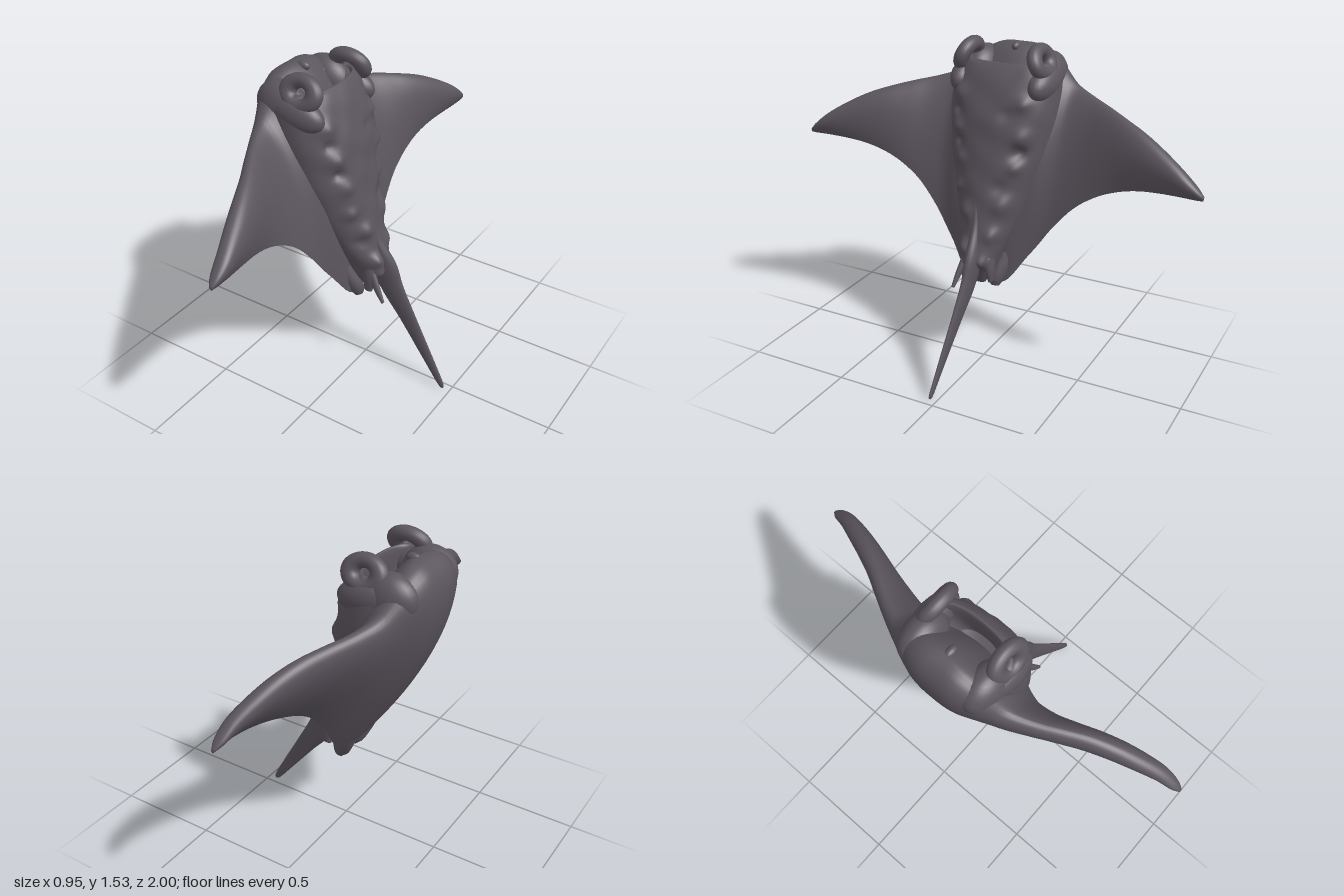
import * as THREE from 'three';

const hide = new THREE.MeshStandardMaterial({ color: 0x5b555e, side: THREE.DoubleSide });
hide.name = 'slate grey skin';

// Smooth interpolation in a table whose first column is the parameter.
function sample(rows, t) {
  let i = 0;
  while (i < rows.length - 2 && t > rows[i + 1][0]) i++;
  const a = rows[i], b = rows[i + 1], p = rows[Math.max(i - 1, 0)], q = rows[Math.min(i + 2, rows.length - 1)];
  const h = b[0] - a[0], u = (t - a[0]) / h;
  return a.map((v, k) => {
    const m0 = (b[k] - p[k]) / (b[0] - p[0]) * h, m1 = (q[k] - v) / (q[0] - a[0]) * h;
    return (2 * u ** 3 - 3 * u * u + 1) * v + (u ** 3 - 2 * u * u + u) * m0
      + (3 * u * u - 2 * u ** 3) * b[k] + (u ** 3 - u * u) * m1;
  });
}

// Skin a list of equal rings, closing both ends, faces outward.
function loft(rings) {
  const n = rings[0].length;
  const centre = (r) => {
    const c = r.reduce((s, p) => s.add(p), new THREE.Vector3()).divideScalar(n);
    return r.map(() => c);
  };
  const all = [centre(rings[0]), ...rings, centre(rings[rings.length - 1])];
  const pts = all.flat();
  const idx = [];
  for (let i = 0; i < all.length - 1; i++) {
    for (let j = 0; j < n; j++) {
      const a = i * n + j, b = i * n + (j + 1) % n;
      idx.push(a, b, a + n, b, b + n, a + n);
    }
  }
  let volume = 0;
  const cross = new THREE.Vector3();
  for (let k = 0; k < idx.length; k += 3) {
    volume += pts[idx[k]].dot(cross.crossVectors(pts[idx[k + 1]], pts[idx[k + 2]]));
  }
  if (volume < 0) idx.reverse();
  const g = new THREE.BufferGeometry().setFromPoints(pts);
  g.setIndex(idx);
  g.computeVertexNormals();
  return g;
}

// Tapered limb: rows of x, y, z, radius in the x-y plane, radius in z.
function limb(rows, steps = 24, sides = 14) {
  const keyed = rows.map((r, i) => [i, ...r]);
  const rings = [];
  for (let i = 0; i <= steps; i++) {
    const t = i / steps * (rows.length - 1);
    const [, x, y, z, r, w] = sample(keyed, t);
    const e = 0.05, t0 = Math.max(t - e, 0), t1 = Math.min(t + e, rows.length - 1);
    const s0 = sample(keyed, t0), s1 = sample(keyed, t1);
    const d = new THREE.Vector2(s1[1] - s0[1], s1[2] - s0[2]).normalize();
    rings.push(Array.from({ length: sides }, (_, j) => {
      const a = j / sides * Math.PI * 2;
      return new THREE.Vector3(x - d.y * r * Math.cos(a), y + d.x * r * Math.cos(a), z + w * Math.sin(a));
    }));
  }
  return loft(rings);
}

// Back and wings: z, leading y and x, trailing y and x, back bulge, belly bulge
const WING = [
  [-0.1, 1.48, -0.37, 0.42, -0.02, 0.47, 0.3],
  [0, 1.49, -0.36, 0.43, -0.03, 0.51, 0.3],
  [0.1, 1.48, -0.37, 0.42, -0.02, 0.47, 0.3],
  [0.2, 1.425, -0.365, 0.555, -0.06, 0.35, 0.3],
  [0.25, 1.375, -0.355, 0.625, -0.075, 0.29, 0.24],
  [0.3, 1.33, -0.34, 0.7, -0.085, 0.25, 0.18],
  [0.4, 1.295, -0.295, 0.818, -0.095, 0.21, 0.13],
  [0.5, 1.272, -0.24, 0.893, -0.095, 0.19, 0.12],
  [0.6, 1.245, -0.185, 0.94, -0.09, 0.17, 0.12],
  [0.7, 1.21, -0.143, 0.97, -0.075, 0.15, 0.12],
  [0.8, 1.16, -0.105, 0.985, -0.058, 0.13, 0.11],
  [0.9, 1.098, -0.07, 0.99, -0.047, 0.1, 0.09],
  [0.97, 1.04, -0.055, 0.988, -0.047, 0.07, 0.055],
  [1, 1.008, -0.053, 0.988, -0.05, 0.02, 0.02],
];

function wingGeometry() {
  const rings = [], half = 28, count = 110;
  for (let i = 0; i <= count; i++) {
    const z = Math.sin((i / count - 0.5) * Math.PI) * 0.35 + (i / count - 0.5) * 1.3;
    const [, yL, xL, yT, xT, back, belly] = sample(WING, Math.abs(z));
    rings.push(Array.from({ length: half * 2 }, (_, j) => {
      const s = 0.5 - 0.5 * Math.cos(j / half * Math.PI);
      const f = Math.sqrt(s) * (1 - s) * (j < half ? -back : belly);
      return new THREE.Vector3(xL + (xT - xL) * s + f, yL + (yT - yL) * s, z);
    }));
  }
  return loft(rings);
}

// Belly: step, y, back x, front x, half width, flank flare; the last rows turn into the mouth
const BELLY = [
  [0.43, 0.02, 0.06, 0.03, 0], [0.5, -0.06, 0.09, 0.065, 0.1], [0.58, -0.1, 0.12, 0.085, 0.25],
  [0.68, -0.14, 0.085, 0.11, 0.45], [0.8, -0.2, 0.055, 0.14, 0.55], [0.9, -0.23, 0.035, 0.16, 0.6],
  [1, -0.26, 0.015, 0.185, 0.55], [1.1, -0.31, -0.005, 0.21, 0.42], [1.2, -0.35, -0.025, 0.235, 0.25],
  [1.3, -0.39, -0.06, 0.25, 0.1], [1.38, -0.39, -0.095, 0.245, 0.06], [1.43, -0.36, -0.13, 0.22, 0],
  [1.43, -0.3, -0.15, 0.18, 0], [1.35, -0.28, -0.15, 0.16, 0], [1.22, -0.25, -0.13, 0.1, 0],
].map((r, i) => [i, ...r]);

// Lumps and gill hollows on the underside: y, z, size, height
const LUMPS = [
  [1.3, 0.17, 0.035, 0.018], [1.28, -0.16, 0.03, 0.02], [1.22, 0.17, 0.022, -0.02], [1.23, -0.08, 0.03, -0.012],
  [1.15, 0.16, 0.03, 0.02], [1.13, -0.17, 0.04, 0.02], [1.08, 0.15, 0.022, -0.025], [1.06, -0.15, 0.03, -0.028],
  [1.01, 0.13, 0.035, 0.02], [0.99, -0.15, 0.03, 0.018], [0.88, 0.13, 0.03, 0.02], [0.9, -0.08, 0.035, -0.012],
  [0.82, -0.11, 0.045, 0.02], [0.78, 0.07, 0.035, 0.018], [0.72, 0.09, 0.03, -0.018], [0.68, -0.08, 0.035, 0.022],
  [0.62, 0.06, 0.03, 0.025], [0.55, -0.05, 0.03, 0.025], [0.54, 0.05, 0.025, 0.02],
];

function bellyGeometry() {
  const rings = [], n = 72, count = 130;
  for (let i = 0; i <= count; i++) {
    const t = i / count * (BELLY.length - 1);
    const [, y, x0, x1, w, flare] = sample(BELLY, t);
    rings.push(Array.from({ length: n }, (_, j) => {
      const a = j / n * Math.PI * 2, c = Math.cos(a), s = Math.sin(a);
      const z = Math.sign(s) * Math.abs(s) ** 0.85 * w * (1 + flare * (0.4 - 0.6 * c));
      let x = (x0 + x1) / 2 + Math.sign(c) * Math.abs(c) ** 0.85 * (x1 - x0) / 2;
      if (c > 0 && t < 11) {
        let bump = 0.003 * Math.sin(y * 31 + z * 12) * Math.cos(z * 34 - y * 7);
        for (const [ly, lz, r, h] of LUMPS) {
          bump += h * Math.exp(-((y - ly) ** 2 + (z - lz) ** 2) / (r * r));
        }
        x += bump * Math.min(1, c * 2.5);
      }
      return new THREE.Vector3(x, y, z);
    }));
  }
  return loft(rings);
}

export function createModel() {
  const model = new THREE.Group();
  model.name = 'mantaRay';
  const add = (name, geometry) => {
    const m = new THREE.Mesh(geometry, hide);
    m.name = name;
    model.add(m);
    return m;
  };
  const blob = (name, pos, scale) => {
    const m = add(name, new THREE.SphereGeometry(1, 28, 18));
    m.position.set(...pos);
    m.scale.set(...scale);
    return m;
  };

  add('wingsAndBack', wingGeometry());
  add('bellyAndMouth', bellyGeometry());
  blob('upperJawNub', [-0.33, 1.475, 0], [0.035, 0.022, 0.02]);

  // Tail, deep seen from the side and thin across
  add('tail', limb([
    [0.025, 0.84, 0.02, 0.02, 0.018], [0.05, 0.7, 0.008, 0.04, 0.024], [0.1, 0.57, 0, 0.07, 0.03],
    [0.15, 0.46, 0.002, 0.065, 0.022], [0.24, 0.33, 0.01, 0.048, 0.015], [0.35, 0.17, 0.022, 0.032, 0.011],
    [0.445, 0.03, 0.032, 0.017, 0.008], [0.463, 0.004, 0.034, 0.006, 0.005],
  ], 42));

  for (const s of [1, -1]) {
    const side = s > 0 ? 'left' : 'right';
    // Curled head fin with an open loop, leaning inward at the top
    const fin = add(side + 'HeadFin', new THREE.TorusGeometry(0.066, 0.04, 16, 40));
    fin.position.set(-0.207, 1.447, s * 0.185);
    fin.scale.set(1.04, 0.82, 0.85);
    fin.rotation.x = -s * 0.4;
    // Broad fin root and cheek that carry the curl
    blob(side + 'HeadFinRoot', [-0.225, 1.35, s * 0.195], [0.14, 0.08, 0.065]).rotation.z = -0.15;
    blob(side + 'Cheek', [-0.32, 1.355, s * 0.165], [0.13, 0.115, 0.085]).rotation.z = -0.2;
    // Rounded rear lobe and pelvic fin
    add(side + 'RearLobe', limb([
      [-0.1, 0.62, s * 0.09, 0.045, 0.05], [-0.055, 0.52, s * 0.08, 0.045, 0.045],
      [-0.015, 0.44, s * 0.065, 0.042, 0.035], [0.0, 0.4, s * 0.06, 0.022, 0.02],
    ]));
    add(side + 'PelvicFin', limb([
      [0.04, 0.6, s * 0.055, 0.04, 0.025], [0.06, 0.52, s * 0.065, 0.035, 0.02], [0.06, 0.45, s * 0.07, 0.02, 0.012],
    ]));
  }
  // Single clasper beside the tail
  add('clasper', limb([
    [0.07, 0.55, 0.06, 0.022, 0.016], [0.11, 0.48, 0.075, 0.018, 0.013], [0.15, 0.42, 0.085, 0.008, 0.008],
  ]));
  blob('tailBaseBump', [0.07, 0.55, -0.05], [0.035, 0.05, 0.03]);
  return model;
}
